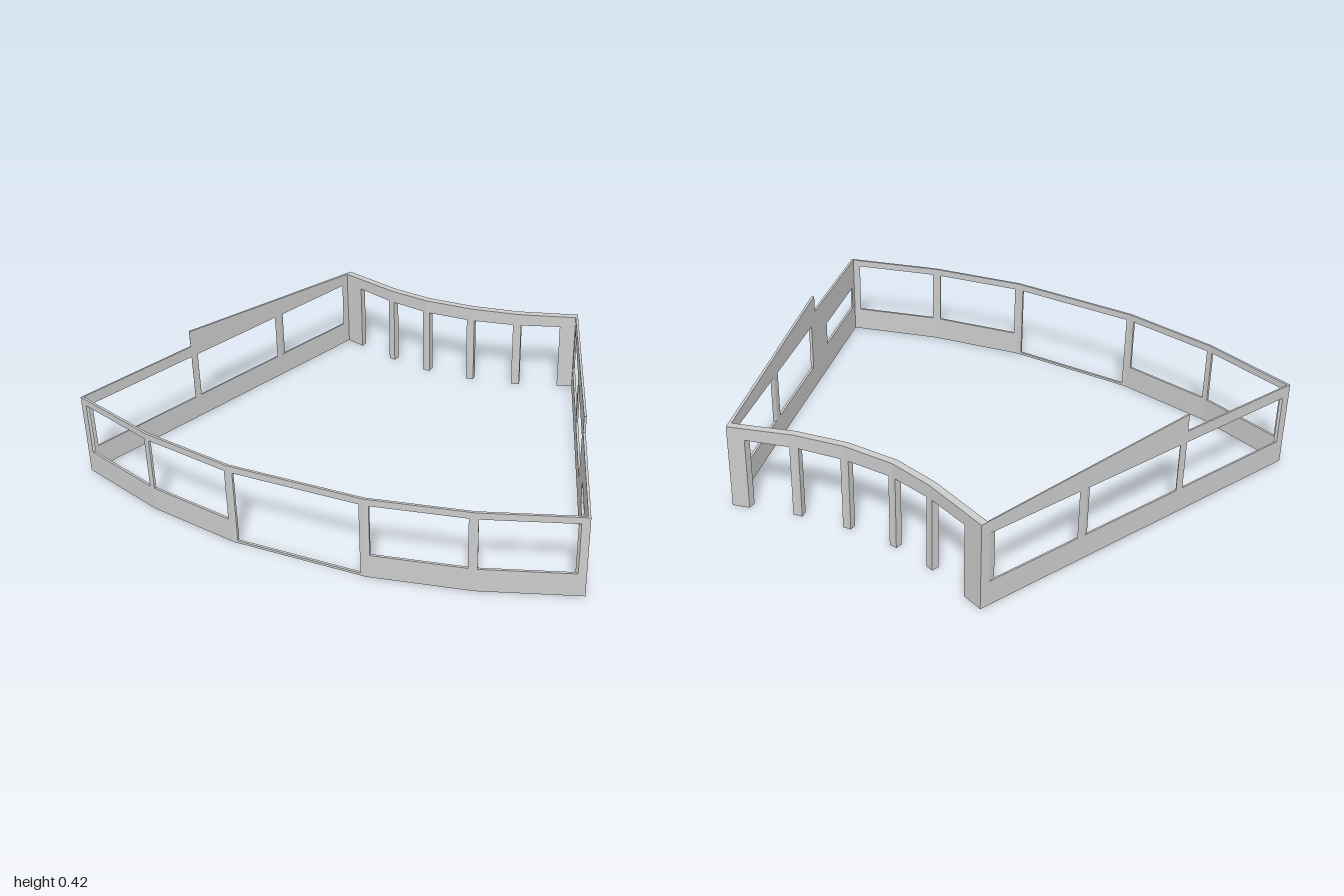
import * as THREE from 'three';

const TOP = 0.348;
const material = new THREE.MeshStandardMaterial({ color: 0xcccccc, flatShading: true });

// Outer plan corners [x, z], running along the front, up the slanted side, round the back
const plan = [
  [-1, 0.945], [-0.59, 0.945], [-0.19, 0.885], [0.33, 0.705], [0.68, 0.505], [1, 0.26],
  [0.055, -0.945], [-0.155, -0.785], [-0.335, -0.685], [-0.53, -0.615], [-0.715, -0.59], [-1, -0.59],
];
// Thickness of the wall that starts at each corner
const thickness = [0.01, 0.01, 0.01, 0.01, 0.01, 0.01, 0.03, 0.03, 0.03, 0.03, 0.03, 0.007];
const count = plan.length;

function inwardNormal(i) {
  const [ax, az] = plan[i], [bx, bz] = plan[(i + 1) % count];
  const len = Math.hypot(bx - ax, bz - az);
  return [(bz - az) / len, -(bx - ax) / len];
}

// Inner corners, mitred between neighbouring walls
const inner = plan.map(([x, z], i) => {
  const j = (i + count - 1) % count;
  const [ax, az] = inwardNormal(j), [bx, bz] = inwardNormal(i);
  const det = ax * bz - az * bx;
  return [
    x + (thickness[j] * bz - thickness[i] * az) / det,
    z + (ax * thickness[i] - bx * thickness[j]) / det,
  ];
});

// One wall between corner i and the next. Outline and holes are given as
// [position, height], the position being measured along plan axis 0 (x) or 1 (z).
function wall(name, i, axis, outline, holes = []) {
  const k = (i + 1) % count;
  const along = (v) => (v - plan[i][axis]) / (plan[k][axis] - plan[i][axis]);
  const points = (list) => list.map(([v, y]) => new THREE.Vector2(along(v), y));
  const shape = new THREE.Shape(points(outline));
  for (const [a, b, y0, y1] of holes) {
    shape.holes.push(new THREE.Path(points([[a, y0], [b, y0], [b, y1], [a, y1]])));
  }
  const geometry = new THREE.ExtrudeGeometry(shape, { depth: 1, bevelEnabled: false });
  // Map the unit panel onto the mitred plan of this wall
  const pos = geometry.attributes.position;
  const lerp = THREE.MathUtils.lerp;
  for (let n = 0; n < pos.count; n++) {
    const s = pos.getX(n), t = pos.getZ(n);
    const at = (c) => lerp(lerp(inner[i][c], inner[k][c], s), lerp(plan[i][c], plan[k][c], s), t);
    pos.setXYZ(n, at(0), pos.getY(n), at(1));
  }
  geometry.computeVertexNormals();
  const mesh = new THREE.Mesh(geometry, material);
  mesh.name = name;
  return mesh;
}

export function createModel() {
  const model = new THREE.Group();
  model.name = 'curvedPavilionWalls';

  // Faceted front: four windows and a wide doorway
  const front = new THREE.Group();
  front.name = 'frontWall';
  const openings = [
    [-0.97, -0.605, 0.1, 0.32], [-0.58, -0.21, 0.1, 0.32], [-0.175, 0.31, 0.01, 0.32],
    [0.345, 0.66, 0.1, 0.32], [0.69, 0.975, 0.1, 0.32],
  ];
  openings.forEach((hole, i) => {
    const a = plan[i][0], b = plan[i + 1][0];
    front.add(wall(i === 2 ? 'doorwayPanel' : 'windowPanel', i, 0,
      [[a, 0], [b, 0], [b, TOP], [a, TOP]], [hole]));
  });
  model.add(front);

  // Slanted left side with a stepped, sloping parapet
  model.add(wall('leftWall', 5, 1,
    [[0.26, 0], [-0.945, 0], [-0.945, TOP], [-0.18, 0.42], [-0.18, TOP], [0.26, TOP]],
    [[0.235, -0.065, 0.12, 0.22], [-0.22, -0.555, 0.1, 0.3], [-0.585, -0.925, 0.1, 0.3]]));

  // Curved back: a header carried on posts, open to the ground
  const back = new THREE.Group();
  back.name = 'backColonnade';
  const tops = [TOP, 0.354, 0.358, 0.358, 0.354, TOP];
  for (let n = 0; n < 5; n++) {
    const i = 6 + n;
    const a = plan[i][0], b = plan[i + 1][0];
    const legA = a - (n === 0 ? 0.055 : 0.015);
    const legB = b + (n === 4 ? 0.09 : 0.015);
    back.add(wall('backBay', i, 0, [
      [a, 0], [legA, 0], [legA, 0.3], [legB, 0.3], [legB, 0], [b, 0], [b, tops[n + 1]], [a, tops[n]],
    ]));
  }
  model.add(back);

  // Straight right side with three windows and a stepped parapet
  model.add(wall('rightWall', 11, 1,
    [[-0.59, 0], [0.945, 0], [0.945, TOP], [0.38, TOP], [0.38, 0.42], [-0.59, TOP]],
    [[-0.555, -0.15, 0.1, 0.3], [-0.115, 0.346, 0.1, 0.3], [0.38, 0.91, 0.1, 0.3]]));

  return model;
}
